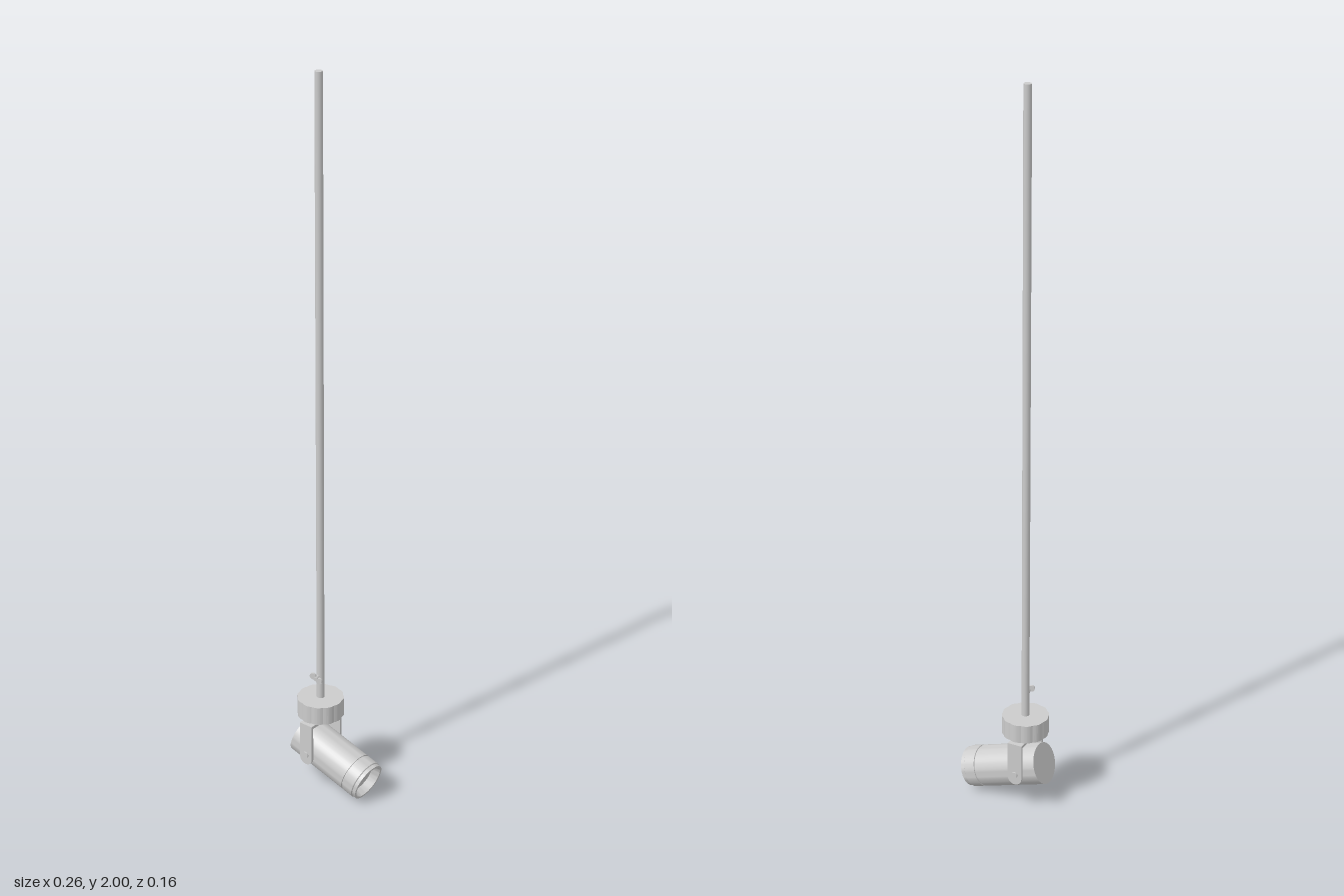
import * as THREE from 'three';
import { toCreasedNormals } from 'three/addons/utils/BufferGeometryUtils.js';

const grey = new THREE.MeshStandardMaterial({ color: 0xcccccc });

function add(parent, name, geometry, x = 0, y = 0, z = 0) {
  const mesh = new THREE.Mesh(geometry, grey);
  mesh.name = name;
  mesh.position.set(x, y, z);
  parent.add(mesh);
  return mesh;
}

const cylinder = (r, h, sides = 24) => new THREE.CylinderGeometry(r, r, h, sides);

// Revolve [radius, height] pairs with crisp edges
function turned(profile, sides = 48) {
  const points = profile.map(([r, y]) => new THREE.Vector2(r, y));
  return toCreasedNormals(new THREE.LatheGeometry(points, sides), 0.5);
}

// Ceiling cap with shallow flutes round the rim
function flutedDisc(radius, depth, lobes, height) {
  const outline = [];
  const steps = lobes * 8;
  for (let i = 0; i < steps; i++) {
    const a = (i / steps) * Math.PI * 2;
    const r = radius - depth * (1 - Math.abs(Math.sin((a * lobes) / 2)));
    outline.push(new THREE.Vector2(Math.cos(a) * r, Math.sin(a) * r));
  }
  const geometry = new THREE.ExtrudeGeometry(new THREE.Shape(outline), { depth: height, bevelEnabled: false });
  return geometry.rotateX(-Math.PI / 2);
}

// Flat yoke arm with a rounded lower end
function armGeometry(width, top, pivot, thickness) {
  const w = width / 2;
  const shape = new THREE.Shape();
  shape.moveTo(-w, top);
  shape.lineTo(-w, pivot);
  shape.absarc(0, pivot, w, Math.PI, Math.PI * 2, false);
  shape.lineTo(w, top);
  shape.closePath();
  const geometry = new THREE.ExtrudeGeometry(shape, { depth: thickness, bevelEnabled: false, curveSegments: 16 });
  return geometry.translate(0, 0, -thickness / 2);
}

export function createModel() {
  const model = new THREE.Group();
  model.name = 'poleSpotlight';

  // Everything hangs on the pole's vertical axis
  const lamp = new THREE.Group();
  lamp.name = 'lamp';
  lamp.position.set(-0.053, 0, -0.015);
  model.add(lamp);

  add(lamp, 'pole', cylinder(0.0105, 1.75), 0, 1.125, 0);
  add(lamp, 'flutedCap', flutedDisc(0.0635, 0.0025, 12, 0.052), 0, 0.208, 0);
  add(lamp, 'swivel', cylinder(0.018, 0.02), 0, 0.203, 0);

  // Wing screw that clamps the pole
  const wingScrew = new THREE.Group();
  wingScrew.name = 'wingScrew';
  wingScrew.position.set(-0.004, 0.325, 0.016);
  wingScrew.rotation.z = -0.6;
  lamp.add(wingScrew);
  add(wingScrew, 'screwHub', cylinder(0.006, 0.018, 16).rotateX(Math.PI / 2));
  for (const side of [-1, 1]) {
    const wing = cylinder(0.009, 0.006, 16).rotateX(Math.PI / 2);
    add(wingScrew, 'wing', wing, side * 0.0105, 0, 0.004);
  }

  // Yoke turned with the lamp head
  const head = new THREE.Group();
  head.name = 'head';
  head.rotation.y = -THREE.MathUtils.degToRad(15.4);
  lamp.add(head);
  add(head, 'yokeBridge', new THREE.BoxGeometry(0.041, 0.008, 0.128), 0, 0.196, 0);
  for (const side of [-1, 1]) {
    add(head, 'yokeArm', armGeometry(0.041, 0.2, 0.097, 0.007), 0, 0, side * 0.0605);
    add(head, 'pivotScrew', cylinder(0.009, 0.016, 20).rotateX(Math.PI / 2), 0, 0.106, side * 0.06);
  }

  // Tilted barrel: flat back, seam groove, bevelled lip and recessed lens
  const barrel = turned([
    [0, -0.06], [0.056, -0.06], [0.056, 0.125], [0.0535, 0.1255],
    [0.0535, 0.1295], [0.056, 0.13], [0.056, 0.161], [0.0535, 0.163],
    [0.0535, 0.173], [0.0475, 0.173], [0.0415, 0.15], [0, 0.15],
  ]);
  const body = add(head, 'barrel', barrel, 0, 0.1055, 0);
  body.rotation.z = -Math.PI / 2 - THREE.MathUtils.degToRad(18);

  return model;
}
